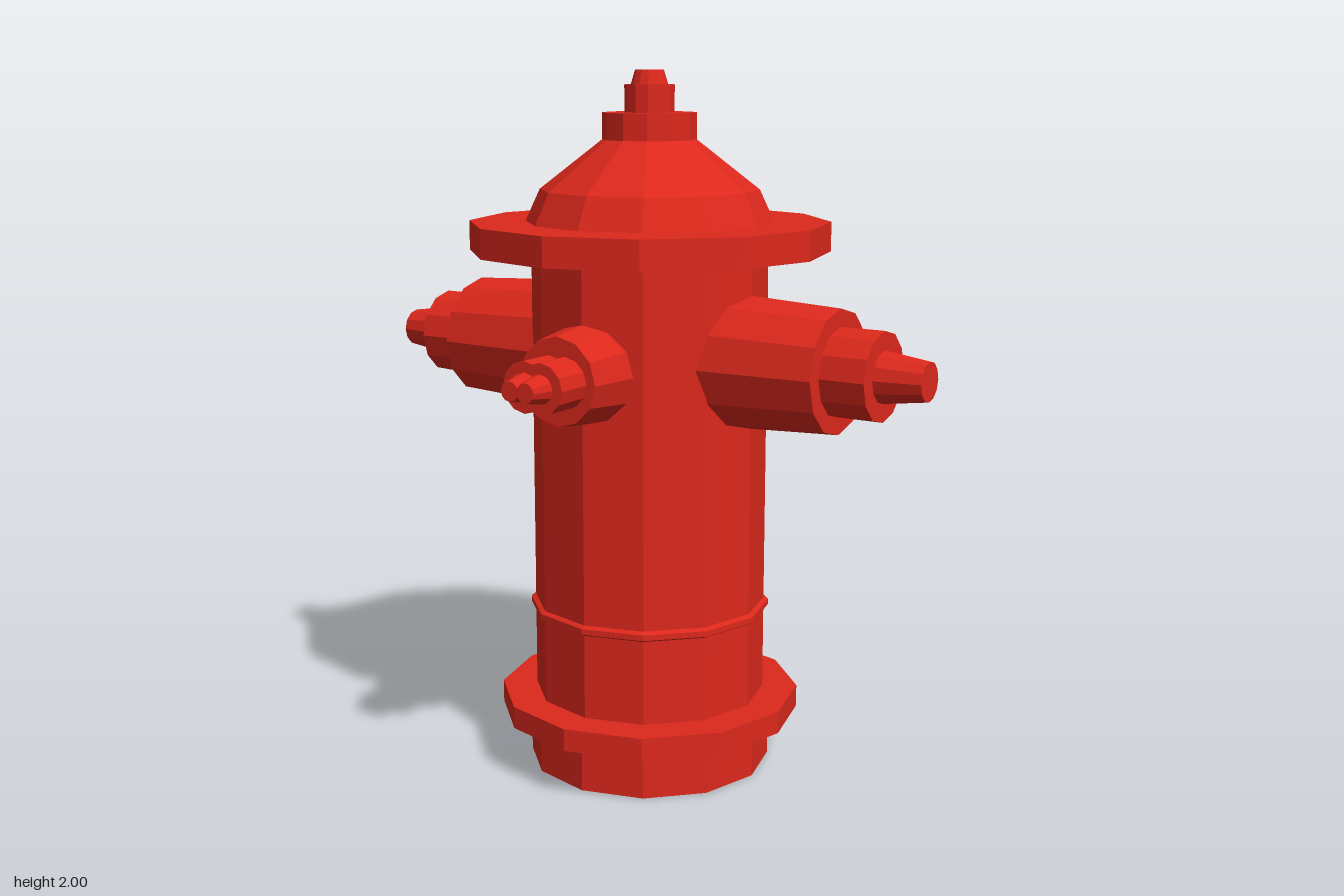
import * as THREE from 'three';

const SIDES = 12;
const red = new THREE.MeshStandardMaterial({ color: 0xdd281c, flatShading: true, side: THREE.DoubleSide });

// Faceted turned part from [radius, height] pairs
function turned(name, profile) {
  const points = profile.map(([r, h]) => new THREE.Vector2(r, h));
  const mesh = new THREE.Mesh(new THREE.LatheGeometry(points, SIDES), red);
  mesh.name = name;
  return mesh;
}

// Large hose outlet, built along +y and turned outward later
function sideOutlet() {
  return turned('sideOutlet', [
    [0.19, 0.25], [0.172, 0.605], [0.123, 0.605], [0.123, 0.735],
    [0.072, 0.735], [0.054, 0.865], [0, 0.865],
  ]);
}

// Small outlet with a double-lobed nut, built along +y
function smallOutlet() {
  const group = new THREE.Group();
  const collar = turned('outletCollar', [[0.145, 0.27], [0.122, 0.45], [0, 0.45]]);
  group.add(collar);
  for (const side of [-1, 1]) {
    const lobe = turned('outletNutLobe', [
      [0.07, 0.44], [0.07, 0.56], [0.04, 0.56], [0.027, 0.625], [0, 0.625],
    ]);
    lobe.position.x = side * 0.025;
    group.add(lobe);
  }
  return group;
}

export function createModel() {
  const model = new THREE.Group();
  model.name = 'fireHydrant';

  // Hollow base and lower flange, open underneath
  model.add(turned('base', [
    [0.352, 0], [0.352, 0.148], [0.436, 0.148], [0.436, 0.212], [0.335, 0.212],
  ]));

  // Barrel with a thin raised band
  model.add(turned('barrel', [
    [0.335, 0.212], [0.335, 0.455], [0.348, 0.462], [0.348, 0.478],
    [0.335, 0.485], [0.335, 1.5],
  ]));

  // Upper flange, bonnet and stepped top nut
  model.add(turned('bonnet', [
    [0.335, 1.5], [0.51, 1.5], [0.51, 1.583], [0.35, 1.583], [0.309, 1.672],
    [0.132, 1.81], [0.132, 1.884], [0.07, 1.884], [0.07, 1.96],
    [0.052, 1.96], [0.04, 2], [0, 2],
  ]));

  // Outlets: large pair on the sides, small pair front and back
  for (const side of [-1, 1]) {
    const large = sideOutlet();
    large.rotation.z = -side * Math.PI / 2;
    large.position.y = 1.21;
    model.add(large);

    const small = smallOutlet();
    small.name = side > 0 ? 'frontOutlet' : 'backOutlet';
    small.rotation.x = side * Math.PI / 2;
    small.position.y = 1.193;
    model.add(small);
  }
  return model;
}
